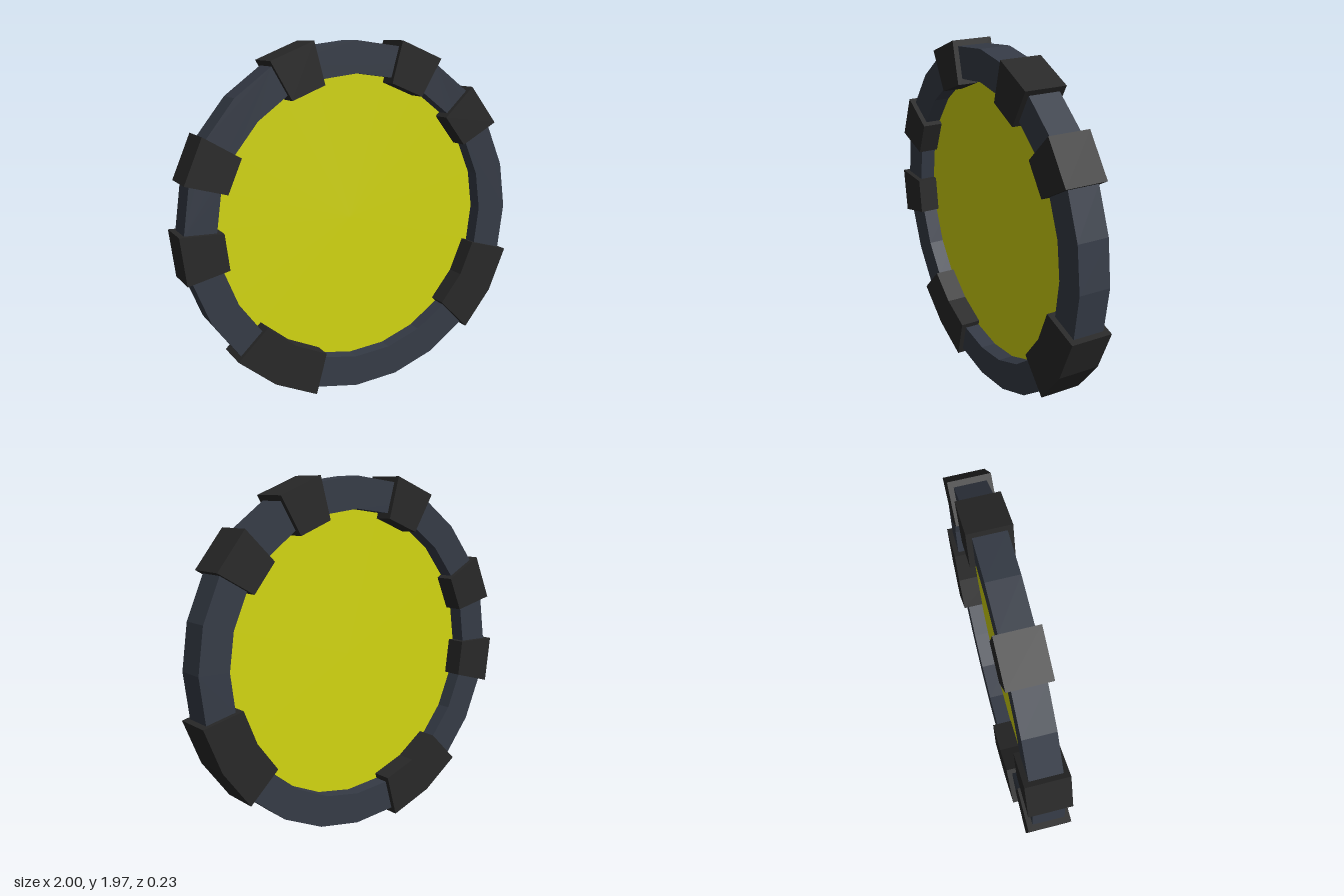
import * as THREE from 'three';

const STEP = Math.PI / 12; // 24-sided ring
const CENTRE = [0.0165, 0.984];

// Points on an arc, counted in 15 degree steps
function arc(radius, from, to) {
  const points = [];
  for (let i = from; i <= to; i++) {
    points.push(new THREE.Vector2(radius * Math.cos(i * STEP), radius * Math.sin(i * STEP)));
  }
  return points;
}

function extrude(shape, depth) {
  const geometry = new THREE.ExtrudeGeometry(shape, { depth, bevelEnabled: false });
  return geometry.translate(0, 0, -depth / 2);
}

export function createModel() {
  const model = new THREE.Group();
  model.name = 'roundFrame';
  model.position.set(CENTRE[0], CENTRE[1], 0);

  const add = (name, geometry, material) => {
    const mesh = new THREE.Mesh(geometry, material);
    mesh.name = name;
    model.add(mesh);
  };
  const ringMaterial = new THREE.MeshStandardMaterial({ color: 0x353b46, flatShading: true });
  const clampMaterial = new THREE.MeshStandardMaterial({ color: 0x282828, flatShading: true });
  const paneMaterial = new THREE.MeshStandardMaterial({ color: 0xd2d510, side: THREE.DoubleSide });

  // Faceted ring
  const ring = new THREE.Shape(arc(0.984, 0, 23));
  ring.holes.push(new THREE.Path(arc(0.808, 0, 23).reverse()));
  add('ring', extrude(ring, 0.176), ringMaterial);

  // Thin pane filling the middle of the ring
  add('pane', new THREE.CircleGeometry(0.82, 24), paneMaterial);

  // Clamps wrapped around the ring: [first step, last step]
  const clamps = [[2, 3], [4, 5], [7, 8], [10, 11], [12, 13], [15, 17], [21, 23]];
  clamps.forEach(([from, to], i) => {
    const shape = new THREE.Shape([...arc(1.017, from, to), ...arc(0.777, from, to).reverse()]);
    add(`clamp${i + 1}`, extrude(shape, 0.234), clampMaterial);
  });

  const root = new THREE.Group();
  root.add(model);
  return root;
}
